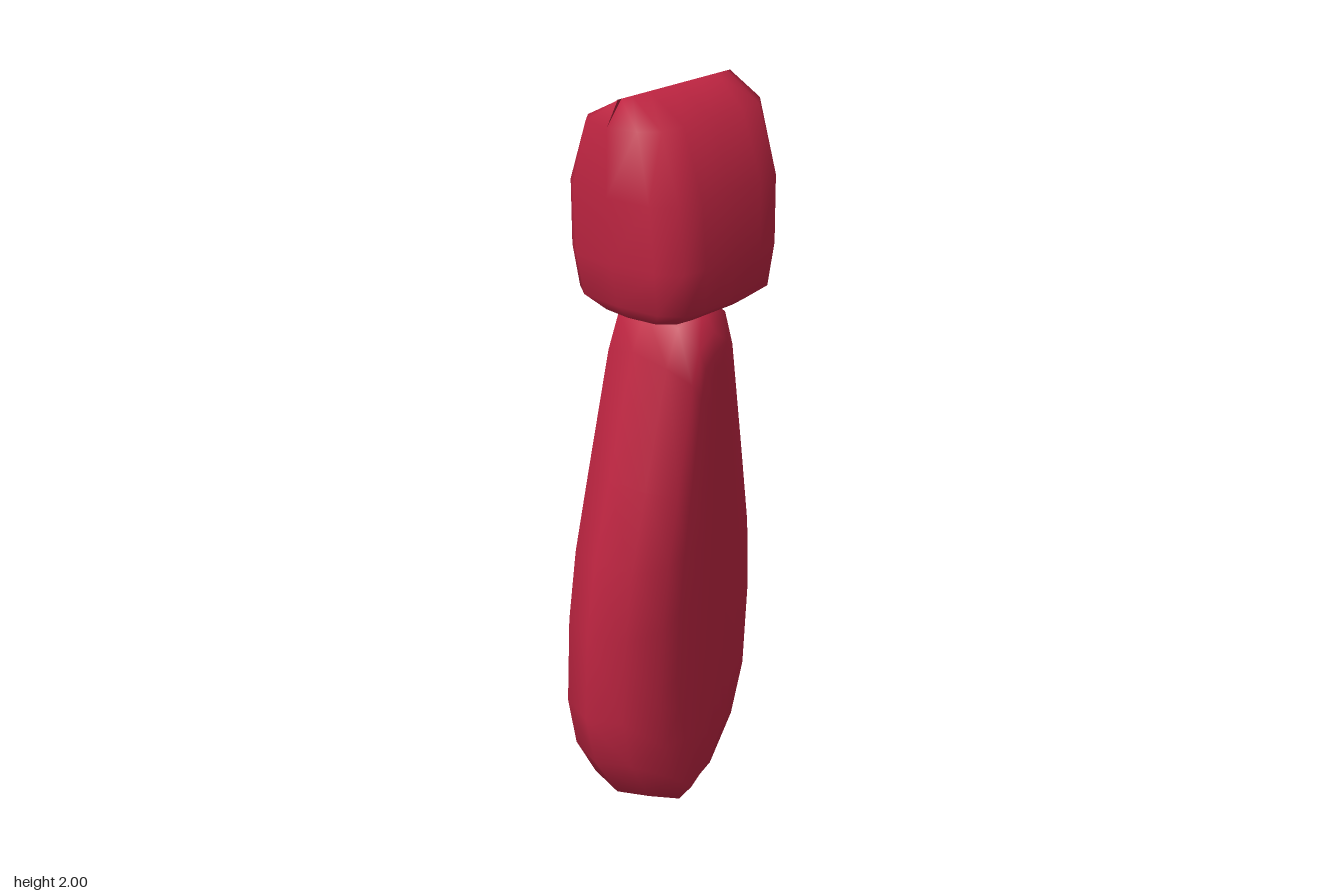
import * as THREE from 'three';
import { mergeVertices } from 'three/addons/utils/BufferGeometryUtils.js';

// Skin a series of closed rings (arrays of [x, y, z]) with smooth normals
function loft(rings) {
  const n = rings[0].length;
  const index = [];
  for (let r = 0; r < rings.length - 1; r++) {
    for (let i = 0; i < n; i++) {
      const a = r * n + i, b = r * n + (i + 1) % n;
      index.push(a, a + n, b, b, a + n, b + n);
    }
  }
  const geo = new THREE.BufferGeometry();
  geo.setAttribute('position', new THREE.Float32BufferAttribute(rings.flat(2), 3));
  geo.setIndex(index);
  const merged = mergeVertices(geo, 1e-4);
  merged.computeVertexNormals();
  return merged;
}

// Rounded-rectangle outline, mirrored from one quarter
function roundedSection() {
  const q = [[1, 0], [1, 0.45], [0.94, 0.75], [0.65, 0.94], [0, 1]];
  const half = [...q, ...q.slice(0, 4).reverse().map(([x, z]) => [-x, z])];
  return [...half, ...half.slice(1, 8).reverse().map(([x, z]) => [x, -z])];
}

// Knot: rounded sections stacked in y, closing to a ridge along z
function knotGeometry() {
  const section = roundedSection();
  const levels = [ // y, half width in x, half width in z
    [1.44, 0, 0.13], [1.45, 0.125, 0.17], [1.49, 0.182, 0.21],
    [1.6, 0.192, 0.23], [1.77, 0.184, 0.243], [1.94, 0.124, 0.238], [2, 0, 0.2],
  ];
  return loft(levels.map(([y, hx, hz]) => section.map(([x, z]) =>
    [0.012 + x * hx * (1 + 0.16 * z * hz), y, z * hz])));
}

// Blade: teardrop outline repeated through the thickness, leaning along its length
function bladeGeometry() {
  const side = [[0.14, 0.07], [0.23, 0.2], [0.272, 0.35], [0.275, 0.6], [0.255, 0.8],
    [0.21, 1.02], [0.14, 1.35], [0.1, 1.45]];
  const outline = [[0, 0.005], ...side, [0, 1.49],
    ...side.slice().reverse().map(([z, y]) => [-z, y])];
  const layers = [ // offset across the thickness, z scale, lowest y, highest y
    [0.147, 0, 0.25, 1.3], [0.147, 0.3, 0.2, 1.34], [0.142, 0.52, 0.08, 1.4],
    [0.1, 0.87, 0.025, 1.46], [0, 1, 0.005, 1.49],
  ];
  const mirrored = layers.slice(0, 4).reverse().map(([t, ...rest]) => [-t, ...rest]);
  return loft([...layers, ...mirrored].reverse().map(([t, s, lo, hi]) =>
    outline.map(([z, y0]) => {
      const y = THREE.MathUtils.mapLinear(y0, 0.005, 1.49, lo, hi);
      return [t - 0.0625 + (y - 0.2) * 0.053, y, z * s];
    })));
}

export function createModel() {
  const group = new THREE.Group();
  group.name = 'necktie';
  const red = new THREE.MeshStandardMaterial({ color: 0xc02542 });
  for (const [name, geo] of [['knot', knotGeometry()], ['blade', bladeGeometry()]]) {
    const mesh = new THREE.Mesh(geo, red);
    mesh.name = name;
    group.add(mesh);
  }
  return group;
}
